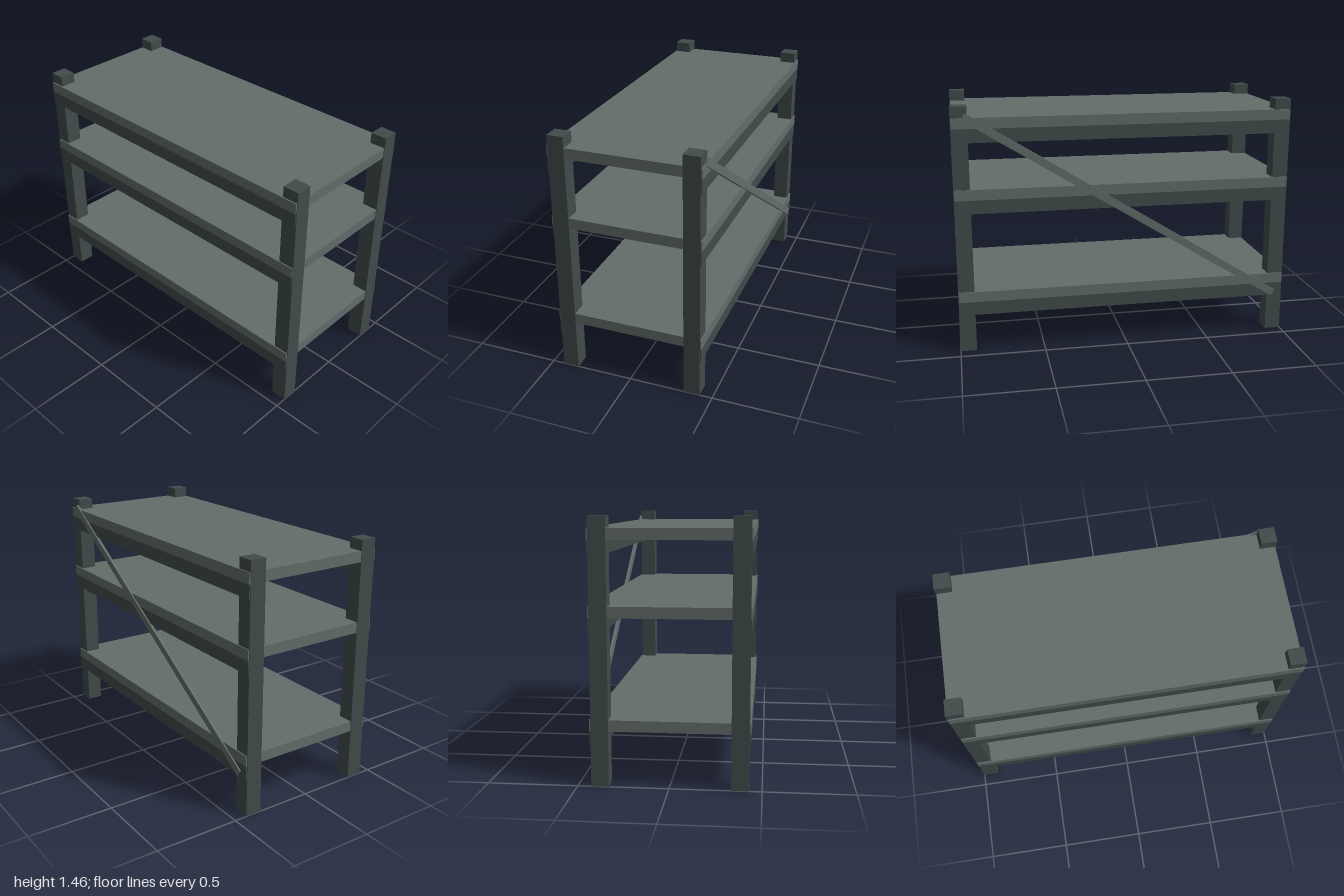
import * as THREE from 'three';

export function createModel() {
  const rack = new THREE.Group();
  rack.name = 'storageRack';
  const frameMat = new THREE.MeshStandardMaterial({ color: 0x414c4b });
  frameMat.name = 'dark steel';
  const shelfMat = new THREE.MeshStandardMaterial({ color: 0x626d6a });
  shelfMat.name = 'grey steel';

  // Box given by its size and centre
  const box = (name, mat, [w, h, d], [x, y, z]) => {
    const mesh = new THREE.Mesh(new THREE.BoxGeometry(w, h, d), mat);
    mesh.name = name;
    mesh.position.set(x, y, z);
    rack.add(mesh);
    return mesh;
  };

  const midZ = 0.003; // the brace sits behind, so the frame is slightly forward

  // Corner posts
  for (const sx of [-1, 1])
    for (const sz of [-1, 1])
      box(`${sz > 0 ? 'front' : 'back'}${sx > 0 ? 'Left' : 'Right'}Post`, frameMat,
        [0.095, 1.46, 0.096], [sx * 0.9525, 0.73, midZ + sz * 0.38]);

  // Shelves, each with a rail under its front and back edge
  for (const top of [0.37, 0.985, 1.397]) {
    box('shelf', shelfMat, [1.994, 0.062, 0.87], [0, top - 0.031, midZ]);
    for (const sz of [-1, 1])
      box(sz > 0 ? 'frontRail' : 'backRail', frameMat,
        [1.994, 0.08, 0.075], [0, top - 0.102, midZ + sz * 0.396]);
  }

  // Diagonal brace across the back
  const brace = box('backBrace', shelfMat, [2.2, 0.045, 0.017], [-0.005, 0.825, -0.431]);
  brace.rotation.z = Math.atan(0.622);

  return rack;
}
